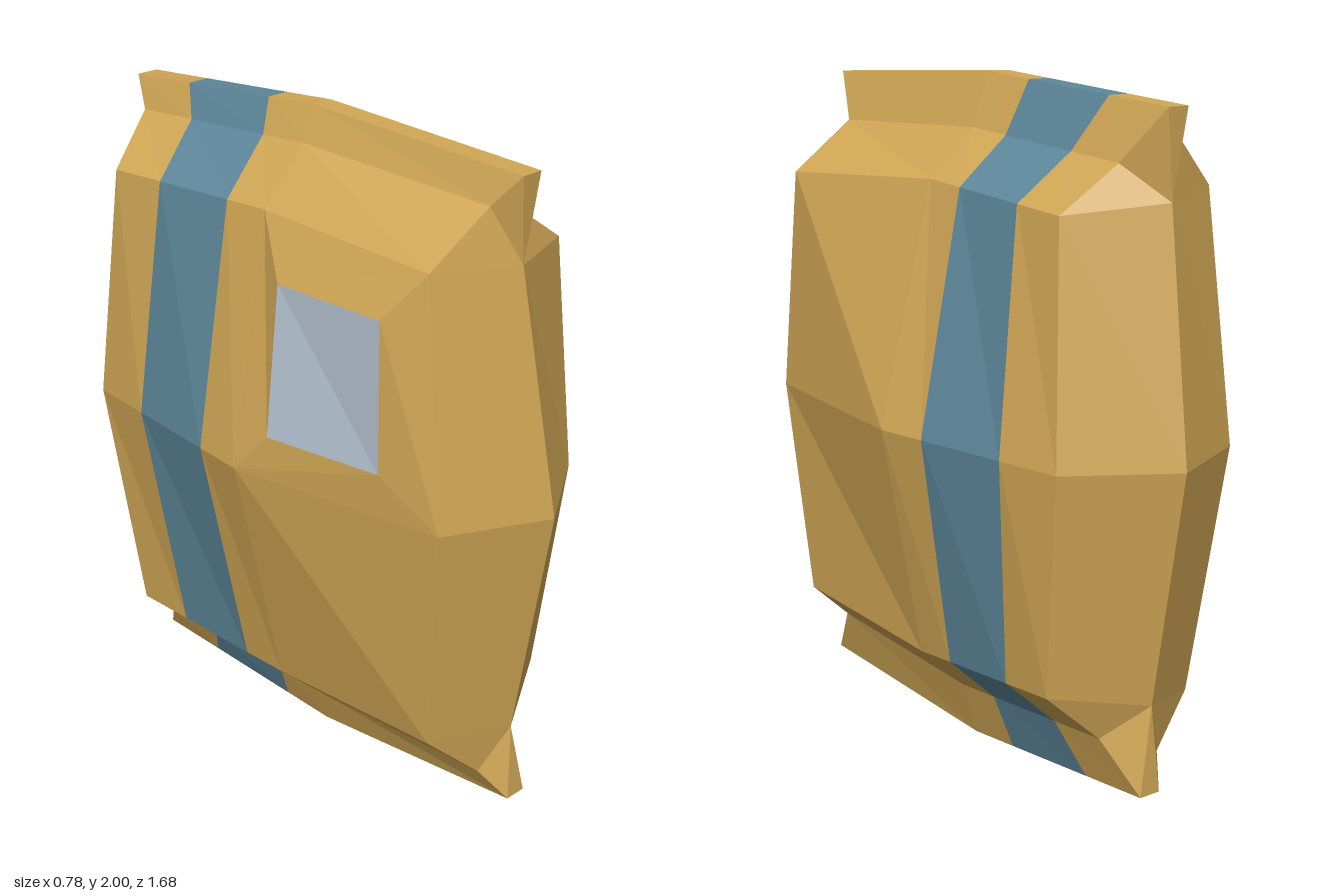
import * as THREE from 'three';

const canvas = new THREE.MeshStandardMaterial({ color: 0xd0a655, flatShading: true });
const stripeBlue = new THREE.MeshStandardMaterial({ color: 0x5d879a, flatShading: true });
const patchGrey = new THREE.MeshStandardMaterial({ color: 0xb2c0cd, flatShading: true });
canvas.name = 'canvas';
stripeBlue.name = 'stripe blue';
patchGrey.name = 'patch grey';

// Columns of [x, y, z], top to bottom: seam, neck, shoulder, middle, hip, neck, seam
const leftSide = {
  front: [[0, 1.96, .74], [.055, 1.82, .63], [.28, 1.68, .59], [.29, 1.01, .66], [.25, .35, .59], [.09, .21, .63], [.05, .06, .74]],
  centre: [[0, 2, 0], [.06, 1.845, 0], [.21, 1.71, 0], [.39, 1.01, 0], [.255, .31, 0], [.1, .165, 0], [.05, 0, 0]],
  back: [[0, 1.95, -.74], [.06, 1.8, -.62], [.22, 1.67, -.57], [.29, 1, -.65], [.25, .34, -.57], [.1, .2, -.62], [.05, .05, -.74]],
};
const rightSide = {
  front: [[-.07, 1.96, .74], [-.1, 1.87, .66], [-.27, 1.72, .61], [-.3, 1.01, .69], [-.23, .29, .61], [-.065, .14, .66], [-.02, .06, .74]],
  centre: [[-.07, 2, 0], [-.11, 1.9, 0], [-.26, 1.745, 0], [-.395, 1.01, 0], [-.22, .26, 0], [-.065, .12, 0], [-.02, 0, 0]],
  back: [[-.07, 1.95, -.74], [-.1, 1.86, -.68], [-.26, 1.72, -.63], [-.29, 1, -.71], [-.22, .27, -.63], [-.065, .14, -.68], [-.02, .05, -.74]],
};
// Ridge down each narrow end: shoulder, middle, hip
const frontRidge = [[-.03, 1.71, .72], [0, 1.01, .84], [.005, .29, .72]];
const backRidge = [[-.03, 1.7, -.73], [0, 1, -.84], [.005, .31, -.73]];

// Collects flat polygons, each listed counter-clockwise from outside
class Skin {
  constructor() { this.points = []; }
  face(corners, flip = false) {
    const c = flip ? [...corners].reverse() : corners;
    for (let i = 1; i < c.length - 1; i++) this.points.push(...c[0], ...c[i], ...c[i + 1]);
  }
  mesh(name, material) {
    const g = new THREE.BufferGeometry();
    g.setAttribute('position', new THREE.Float32BufferAttribute(this.points, 3));
    g.computeVertexNormals();
    const m = new THREE.Mesh(g, material);
    m.name = name;
    return m;
  }
}

const mix = (a, b, t) => a.map((v, i) => v + (b[i] - v) * t);
const between = (a, b, t) => a.map((p, i) => mix(p, b[i], t));

// Five columns per side; the stripe runs between the third and fourth
const columns = (s) => [s.front, s.centre, between(s.centre, s.back, .24), between(s.centre, s.back, .69), s.back];

export function createModel() {
  const sack = new Skin(), stripe = new Skin(), patch = new Skin();
  const left = columns(leftSide), right = columns(rightSide);

  // Broad sides
  [left, right].forEach((cols, side) => {
    for (let c = 0; c < 4; c++) {
      const skin = c === 2 ? stripe : sack;
      for (let r = 0; r < 6; r++) {
        if (side === 1 && c === 0 && r === 2) continue; // patched panel
        skin.face([cols[c][r], cols[c][r + 1], cols[c + 1][r + 1], cols[c + 1][r]], side === 1);
      }
    }
  });

  // Seam edges along the top and bottom
  for (let c = 0; c < 4; c++) {
    const skin = c === 2 ? stripe : sack;
    for (const r of [0, 6]) {
      skin.face([right[c][r], left[c][r], left[c + 1][r], right[c + 1][r]], r === 6);
    }
  }

  // Narrow ends, folded along the ridge
  for (const [ridge, col, isBack] of [[frontRidge, 0, false], [backRidge, 4, true]]) {
    const [top, mid, low] = ridge;
    [left[col], right[col]].forEach((p, side) => {
      const flip = (side === 1) !== isBack;
      sack.face([p[0], top, p[1]], flip);
      sack.face([p[1], top, p[2]], flip);
      sack.face([top, mid, p[3], p[2]], flip);
      sack.face([mid, low, p[4], p[3]], flip);
      sack.face([p[5], p[4], low], flip);
      sack.face([p[6], p[5], low], flip);
    });
    sack.face([right[col][0], top, left[col][0]], isBack);
    sack.face([low, right[col][6], left[col][6]], isBack);
  }

  // Raised patch on the right side, framed by sloping canvas
  const outer = [right[1][2], right[1][3], right[0][3], right[0][2]];
  const inner = [[-.33, 1.58, .12], [-.378, 1.14, .12], [-.333, 1.14, .5], [-.333, 1.58, .5]];
  for (let i = 0; i < 4; i++) {
    const j = (i + 1) % 4;
    sack.face([outer[i], outer[j], inner[j], inner[i]]);
  }
  patch.face(inner);

  const group = new THREE.Group();
  group.name = 'sack';
  group.add(sack.mesh('sackBody', canvas), stripe.mesh('stripe', stripeBlue), patch.mesh('patch', patchGrey));
  return group;
}
